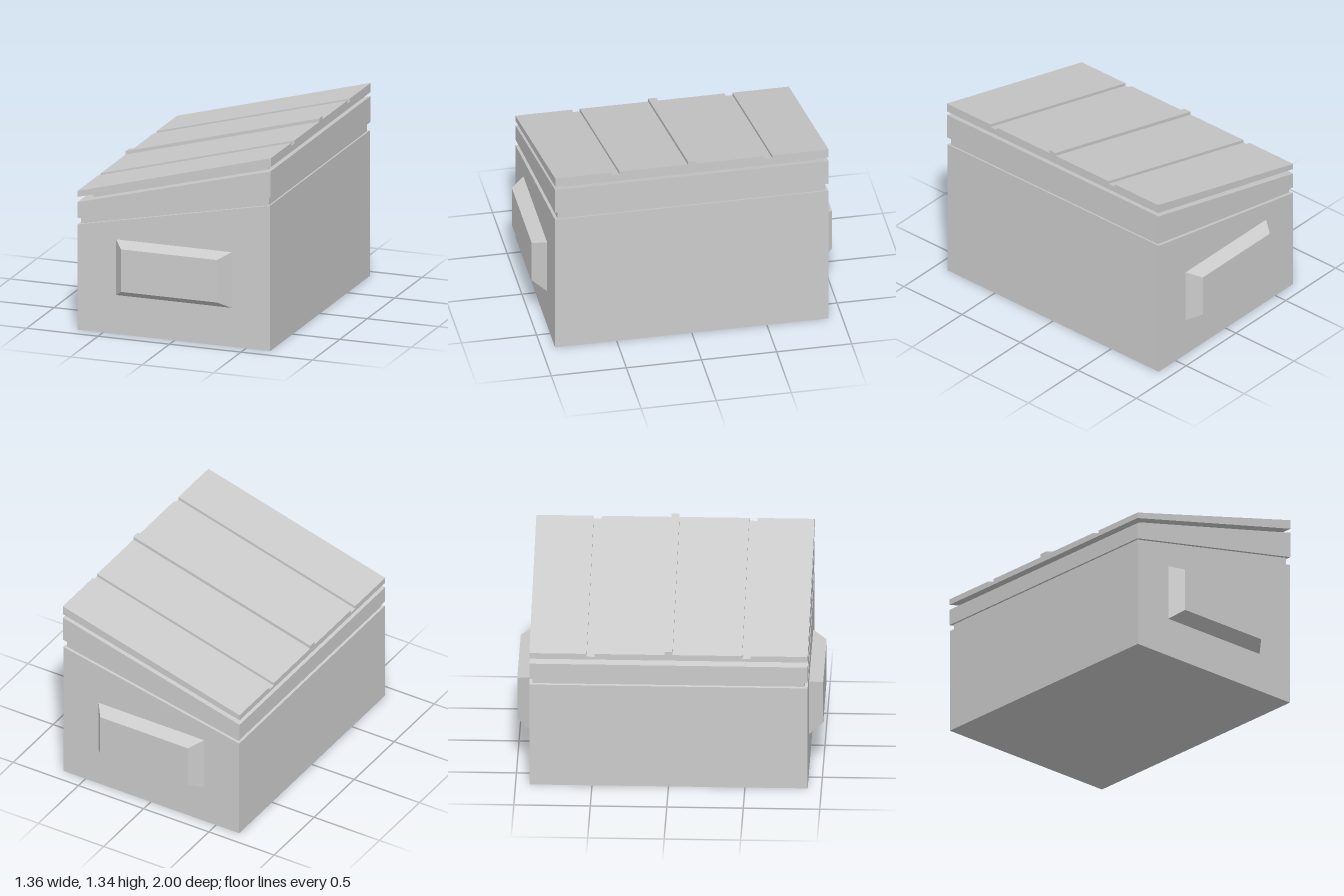
import * as THREE from 'three';

const material = new THREE.MeshStandardMaterial({ color: 0xcccccc, flatShading: true });
const LEFT = -0.68, RIGHT = 0.675;

// Sloping line given by its heights at the low and high side of the model
const slope = (low, high) => (x) => low + (high - low) * (x - LEFT) / (RIGHT - LEFT);

// Moves every vertex of a geometry by a rule
function reshape(geometry, rule) {
  const p = geometry.attributes.position, v = new THREE.Vector3();
  for (let i = 0; i < p.count; i++) {
    rule(v.fromBufferAttribute(p, i));
    p.setXYZ(i, v.x, v.y, v.z);
  }
  geometry.computeVertexNormals();
  return geometry;
}

function part(name, geometry) {
  const mesh = new THREE.Mesh(geometry, material);
  mesh.name = name;
  return mesh;
}

// Block between two sloping lines
function slab(name, x0, x1, halfDepth, bottom, top) {
  return part(name, reshape(new THREE.BoxGeometry(1, 1, 1), (v) => {
    const x = v.x < 0 ? x0 : x1;
    v.set(x, v.y < 0 ? bottom(x) : top(x), Math.sign(v.z) * halfDepth);
  }));
}

// Lid: grooved cross-section run across the width, fitted to the slope
function lid(bottom, top) {
  const d = 0.91, low = -0.05, cut = -0.02, ridge = 0.023;
  const profile = [
    [-d, low], [d, low], [d, 0],
    [0.535, 0], [0.535, cut], [0.482, cut], [0.482, 0],
    [0.027, 0], [0.027, ridge], [-0.027, ridge], [-0.027, 0],
    [-0.482, 0], [-0.482, cut], [-0.535, cut], [-0.535, 0], [-d, 0],
  ];
  const shape = new THREE.Shape(profile.map(([z, y]) => new THREE.Vector2(z, y)));
  const geometry = new THREE.ExtrudeGeometry(shape, { depth: RIGHT - LEFT, bevelEnabled: false });
  geometry.rotateY(Math.PI / 2).translate(LEFT, 0, 0);
  return part('lid', reshape(geometry, (v) => {
    v.y = v.y < -0.03 ? bottom(v.x) : top(v.x) + v.y;
  }));
}

// Raised end panel with bevelled sides
function panel(name, side) {
  return part(name, reshape(new THREE.BoxGeometry(1, 1, 1), (v) => {
    const outer = v.z * side > 0;
    const [x0, x1, y0, y1, z] = outer
      ? [-0.34, 0.333, 0.32, 0.61, 1]
      : [-0.415, 0.408, 0.26, 0.65, 0.9];
    v.set(v.x < 0 ? x0 : x1, v.y < 0 ? y0 : y1, side * z);
  }));
}

export function createModel() {
  const model = new THREE.Group();
  model.name = 'slopedBox';

  const ground = () => 0;
  const bodyTop = slope(0.718, 0.994);
  const bandBottom = slope(0.76, 1.05);
  const bandTop = slope(0.87, 1.227);
  const lidBottom = slope(0.906, 1.255);
  const lidTop = slope(0.946, 1.317);

  model.add(
    slab('body', -0.677, 0.67, 0.91, ground, bodyTop),
    slab('lowerGroove', -0.66, 0.655, 0.89, bodyTop, bandBottom),
    slab('band', LEFT, 0.673, 0.91, bandBottom, bandTop),
    slab('upperGroove', -0.595, 0.625, 0.835, bandTop, lidBottom),
    lid(lidBottom, lidTop),
    panel('frontPanel', 1),
    panel('backPanel', -1),
  );
  return model;
}
